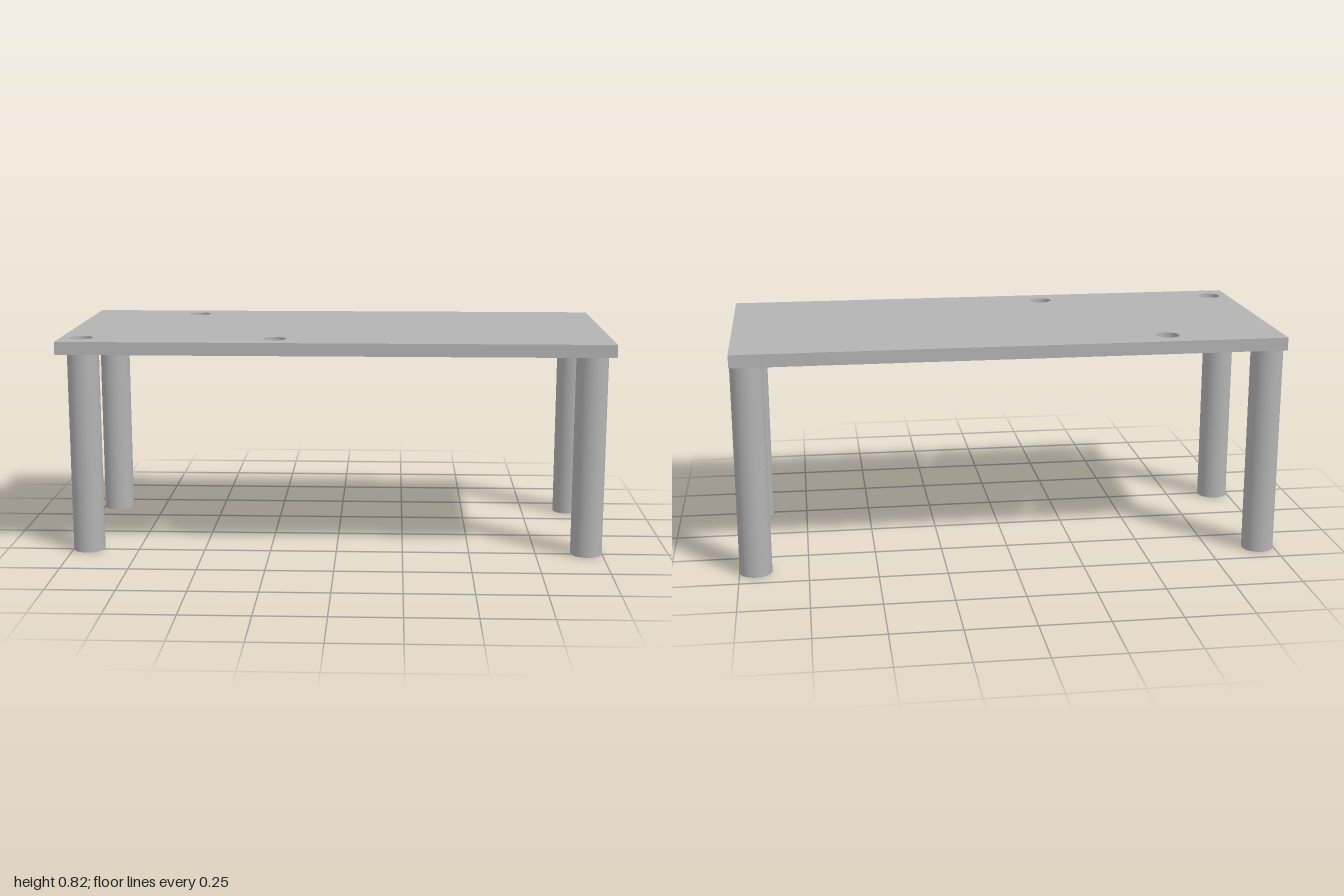
import * as THREE from 'three';

const HALF_X = 1, HALF_Z = 0.448;
const TOP_Y = 0.825, THICKNESS = 0.047;
const LEG_RADIUS = 0.059, HOLE_RADIUS = 0.042;

export function createModel() {
  const table = new THREE.Group();
  table.name = 'table';
  const grey = new THREE.MeshStandardMaterial({ color: 0xb3b3b3 });
  grey.name = 'grey';

  // Tabletop outline, drawn in x and z, with three round through holes
  const outline = new THREE.Shape([
    new THREE.Vector2(-HALF_X, -HALF_Z),
    new THREE.Vector2(HALF_X, -HALF_Z),
    new THREE.Vector2(HALF_X, HALF_Z),
    new THREE.Vector2(-HALF_X, HALF_Z),
  ]);
  for (const [x, z] of [[-0.925, 0.34], [-0.578, -0.345], [-0.22, 0.34]]) {
    outline.holes.push(new THREE.Path().absarc(x, z, HOLE_RADIUS, 0, Math.PI * 2, true));
  }
  const topGeometry = new THREE.ExtrudeGeometry(outline, {
    depth: THICKNESS, bevelEnabled: false, curveSegments: 48,
  });
  topGeometry.rotateX(Math.PI / 2); // lay flat, thickness going down
  const top = new THREE.Mesh(topGeometry, grey);
  top.name = 'tabletop';
  top.position.y = TOP_Y;
  table.add(top);

  // Four round legs, the front pair set back from the edge
  const legHeight = TOP_Y - THICKNESS;
  const legGeometry = new THREE.CylinderGeometry(LEG_RADIUS, LEG_RADIUS, legHeight, 48);
  for (const [end, z] of [['front', 0.241], ['back', -0.389]]) {
    for (const [side, sign] of [['Left', 1], ['Right', -1]]) {
      const leg = new THREE.Mesh(legGeometry, grey);
      leg.name = `${end}${side}Leg`;
      leg.position.set(sign * (HALF_X - LEG_RADIUS), legHeight / 2, z);
      table.add(leg);
    }
  }
  return table;
}
